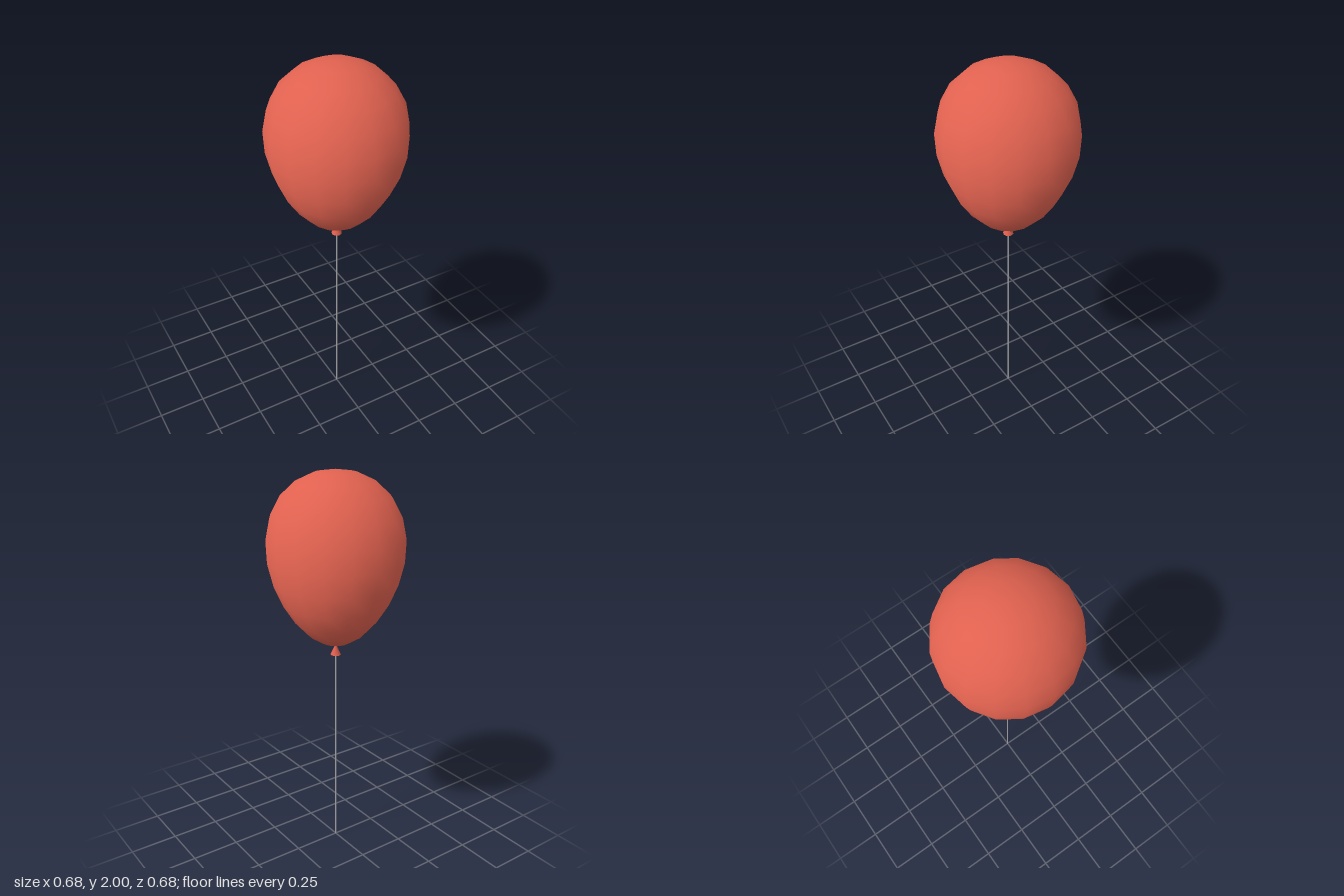
import * as THREE from 'three';

export function createModel() {
  const red = new THREE.MeshStandardMaterial({ color: 0xe0614f });
  red.name = 'balloonRed';
  const grey = new THREE.MeshStandardMaterial({ color: 0xaaaaaa });
  grey.name = 'stringGrey';

  const model = new THREE.Group();
  model.name = 'balloon';
  const add = (name, geometry, material, y) => {
    const mesh = new THREE.Mesh(geometry, material);
    mesh.name = name;
    mesh.position.y = y;
    model.add(mesh);
  };

  // Envelope: a stretched sphere that widens upward and tapers downward
  const envelope = new THREE.SphereGeometry(1, 16, 12);
  const p = envelope.attributes.position;
  const radius = 0.336, halfHeight = 0.4325, taper = 0.19;
  for (let i = 0; i < p.count; i++) {
    const t = p.getY(i);
    const s = radius * (1 + taper * t);
    p.setXYZ(i, p.getX(i) * s, t * halfHeight, p.getZ(i) * s);
  }
  // Smooth normals from the tapered ellipsoid's gradient, seamless at the join
  const n = envelope.attributes.normal;
  const v = new THREE.Vector3();
  for (let i = 0; i < n.count; i++) {
    const x = n.getX(i), t = n.getY(i), z = n.getZ(i);
    const s = radius * (1 + taper * t);
    v.set(x / s, (t + (1 - t * t) * radius * taper / s) / halfHeight, z / s).normalize();
    n.setXYZ(i, v.x, v.y, v.z);
  }
  add('envelope', envelope, red, 1.5675);

  // Tied neck below the envelope
  add('knot', new THREE.ConeGeometry(0.027, 0.06, 8), red, 1.11);

  // Straight string down to the ground
  add('string', new THREE.CylinderGeometry(0.004, 0.004, 1.09, 6), grey, 0.545);

  return model;
}
